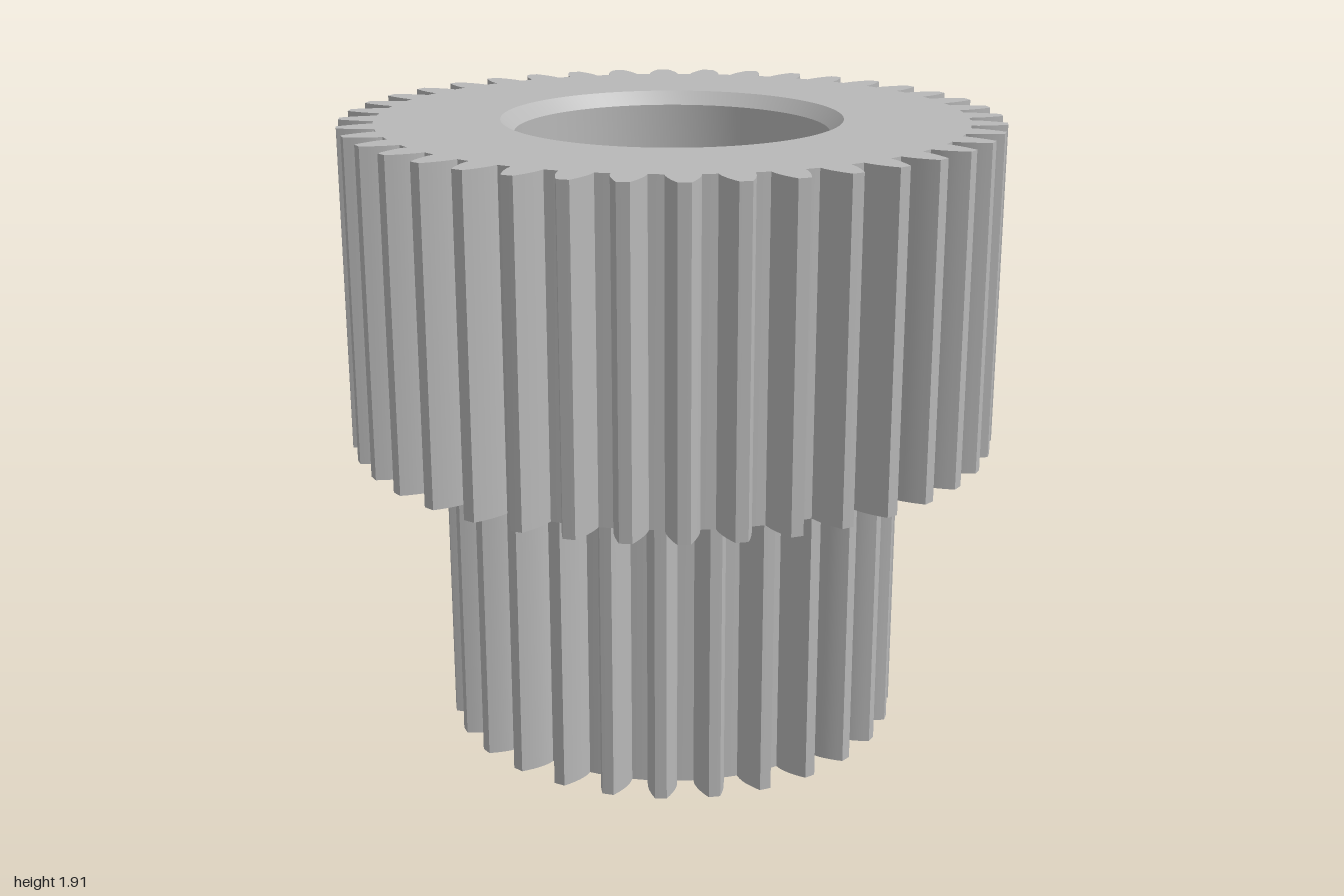
import * as THREE from 'three';
import { toCreasedNormals } from 'three/addons/utils/BufferGeometryUtils.js';

const MODULE = 0.0477, PRESSURE = Math.PI / 9;
const HEIGHT = 1.915, STEP = 0.93;

const involute = (a) => Math.tan(a) - a;

// Counter-clockwise outline of a standard involute spur gear, with a gap centred on each axis
function gearOutline(teeth) {
  const pitch = MODULE * teeth / 2;
  const base = pitch * Math.cos(PRESSURE);
  const root = pitch - 1.25 * MODULE, tip = pitch + MODULE;
  const halfAngle = (r) => Math.PI / (2 * teeth) + involute(PRESSURE)
    - involute(Math.acos(Math.min(1, base / r)));
  const start = Math.max(root, base);
  const radii = [root];
  for (let i = 0; i <= 5; i++) radii.push(start + (tip - start) * i / 5);
  const points = [];
  const add = (r, a) => points.push(new THREE.Vector2(r * Math.cos(a), r * Math.sin(a)));
  for (let t = 0; t < teeth; t++) {
    const mid = (t + 0.5) * 2 * Math.PI / teeth;
    add(root, mid - Math.PI / teeth);
    radii.forEach((r) => add(r, mid - halfAngle(r)));
    add(tip, mid);
    [...radii].reverse().forEach((r) => add(r, mid + halfAngle(r)));
  }
  return points;
}

// Toothed side wall between two heights
function toothWall(outline, y0, y1) {
  const v = [];
  outline.forEach((a, i) => {
    const b = outline[(i + 1) % outline.length];
    if (a.distanceTo(b) < 1e-6) return;
    v.push(a.x, y0, -a.y, b.x, y0, -b.y, b.x, y1, -b.y);
    v.push(a.x, y0, -a.y, b.x, y1, -b.y, a.x, y1, -a.y);
  });
  const g = new THREE.BufferGeometry();
  g.setAttribute('position', new THREE.Float32BufferAttribute(v, 3));
  return toCreasedNormals(g, 0.4);
}

// Flat face with a hole, looking up or down
function face(outline, hole, y, up) {
  const shape = new THREE.Shape(outline);
  shape.holes.push(new THREE.Path(hole));
  return new THREE.ShapeGeometry(shape).rotateX(up ? -Math.PI / 2 : Math.PI / 2).translate(0, y, 0);
}

export function createModel() {
  const group = new THREE.Group();
  const steel = new THREE.MeshStandardMaterial({ color: 0xb8b8b8 });
  steel.name = 'steel grey';
  const add = (name, geometry) => {
    const mesh = new THREE.Mesh(geometry, steel);
    mesh.name = name;
    group.add(mesh);
  };

  const large = gearOutline(40), small = gearOutline(28);
  const mouth = 0.517, pocket = 0.477, bore = 0.4, chamfer = 0.04, depth = 0.28, segments = 96;
  const rim = Array.from({ length: segments }, (_, i) => {
    const a = i * 2 * Math.PI / segments;
    return new THREE.Vector2(mouth * Math.cos(a), mouth * Math.sin(a));
  });

  // Gear teeth
  add('largeGearTeeth', toothWall(large, STEP, HEIGHT));
  add('smallGearTeeth', toothWall(small, 0, STEP));

  // End faces and the step between the gears
  add('topFace', face(large, rim, HEIGHT, true));
  add('stepFace', face(large, small, STEP, false));
  add('bottomFace', face(small, rim, 0, false));

  // Through bore with a chamfered bearing pocket at each end
  const profile = [
    [mouth, HEIGHT], [pocket, HEIGHT - chamfer], [pocket, HEIGHT - depth], [bore, HEIGHT - depth],
    [bore, depth], [pocket, depth], [pocket, chamfer], [mouth, 0],
  ].map(([r, y]) => new THREE.Vector2(r, y));
  add('bore', toCreasedNormals(new THREE.LatheGeometry(profile, segments), 0.4));

  return group;
}
